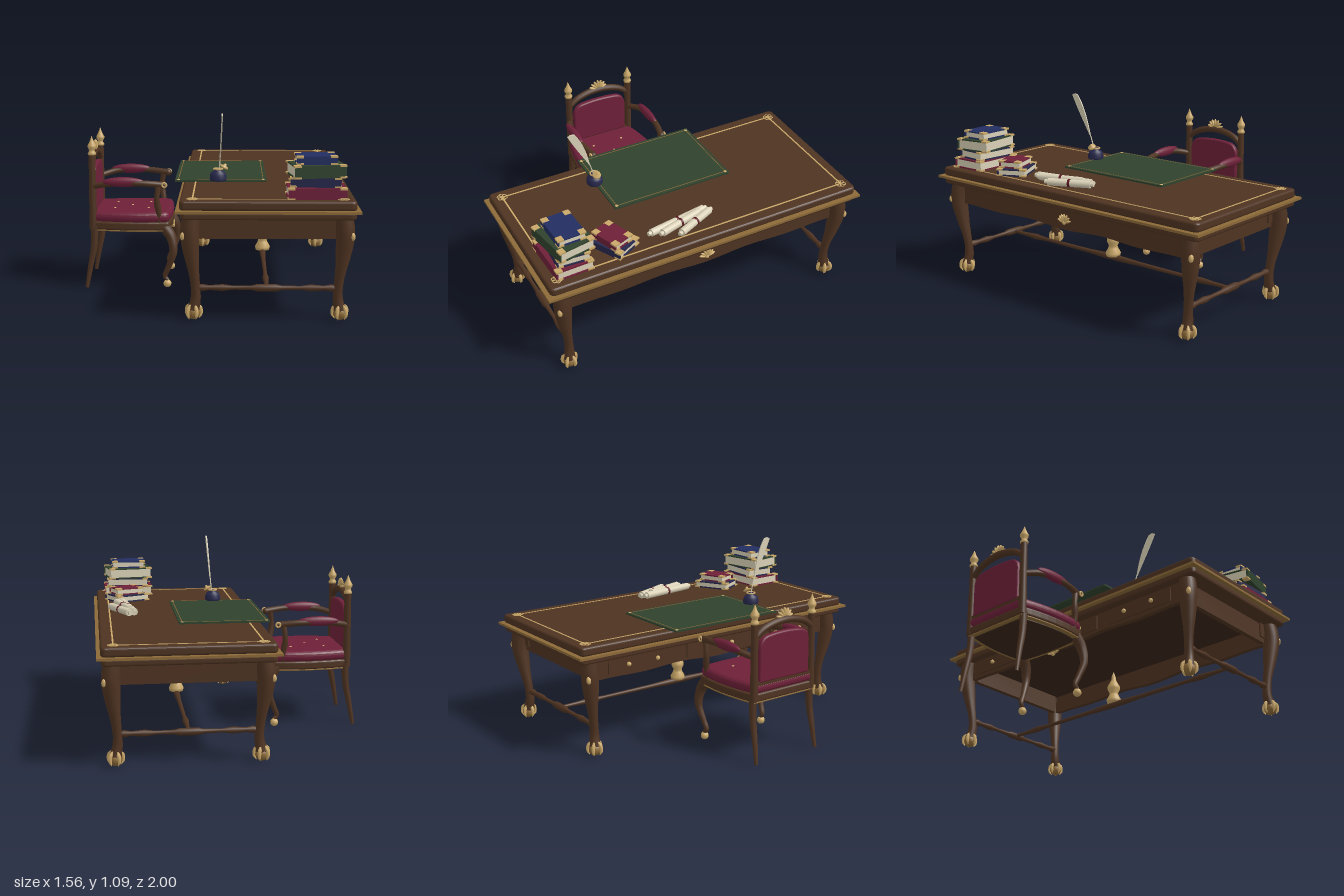
import * as THREE from 'three';

const mat = (name, color) => { const m = new THREE.MeshStandardMaterial({ color }); m.name = name; return m; };
const V = (x, y, z) => new THREE.Vector3(x, y, z);

export function createModel() {
  const wood = mat('walnut', 0x4e3321), dark = mat('dark walnut', 0x3b2719), gold = mat('gold', 0xc9a768),
    oldGold = mat('old gold', 0x8c6a38), crimson = mat('crimson velvet', 0x6e2039), green = mat('green leather', 0x2f422d),
    navy = mat('navy', 0x27284c), blue = mat('blue', 0x232e61), cream = mat('cream paper', 0xd9d0b6), maroon = mat('maroon ribbon', 0x5a1420);
  dark.side = cream.side = THREE.DoubleSide;
  const root = new THREE.Group();
  const group = (name, parent = root) => { const g = new THREE.Group(); g.name = name; parent.add(g); return g; };
  const add = (p, name, geo, m, x = 0, y = 0, z = 0) => {
    const o = new THREE.Mesh(geo, m); o.name = name; o.position.set(x, y, z); p.add(o); return o;
  };
  const box = (p, name, m, x, y, z, w, h, d) => add(p, name, new THREE.BoxGeometry(w, h, d), m, x, y, z);
  const ball = (p, name, m, x, y, z, r, sy = 1) => add(p, name, new THREE.SphereGeometry(r, 16, 10).scale(1, sy, 1), m, x, y, z);
  const lathe = (p, name, m, pts, x, y, z) =>
    add(p, name, new THREE.LatheGeometry(pts.map(a => new THREE.Vector2(a[0], a[1])), 20), m, x, y, z);
  // Swept limb: a tube whose rings are scaled by a list of radii
  const limb = (p, name, m, pts, radii, n = 28, sides = 12) => {
    const curve = new THREE.CatmullRomCurve3(pts.map(a => V(...a)));
    const g = new THREE.TubeGeometry(curve, n, 1, sides), pos = g.attributes.position, v = V(0, 0, 0);
    for (let i = 0; i <= n; i++) {
      const c = curve.getPointAt(i / n), t = i / n * (radii.length - 1), k = Math.min(Math.floor(t), radii.length - 2);
      const r = THREE.MathUtils.lerp(radii[k], radii[k + 1], t - k);
      for (let j = 0; j <= sides; j++) {
        const q = i * (sides + 1) + j;
        v.fromBufferAttribute(pos, q).sub(c).multiplyScalar(r).add(c);
        pos.setXYZ(q, v.x, v.y, v.z);
      }
    }
    return add(p, name, g, m);
  };
  // Horizontal rounded slab extruded upward
  const slab = (p, name, m, shape, y, h, bevel) => {
    const g = new THREE.ExtrudeGeometry(shape, { depth: h - 2 * bevel, bevelSize: bevel, bevelThickness: bevel, bevelSegments: 4, curveSegments: 8 });
    return add(p, name, g.rotateX(-Math.PI / 2), m, 0, y + bevel, 0);
  };
  // Scallop shell fan facing +x or -x
  const shell = (p, x, y, z, r) => {
    const s = group('shell ornament', p);
    for (let i = -3; i <= 3; i++) {
      const a = i * 0.42, o = ball(s, 'shell rib', gold, x, y + Math.cos(a) * r * 0.55, z + Math.sin(a) * r * 0.55, 1);
      o.scale.set(r * 0.2, r * 0.5, r * 0.15); o.rotation.x = a;
    }
    ball(s, 'shell boss', gold, x, y, z, r * 0.25);
  };
  const frame = (p, name, m, cx, y, hx, hz, w) => {
    for (const s of [-1, 1]) {
      box(p, name, m, cx + s * hx, y, 0, w, 0.004, hz * 2 + w);
      box(p, name, m, cx, y, s * hz, hx * 2 + w, 0.004, w);
    }
  };

  // ---- Desk ----
  const desk = group('desk'), CX = 0.29;
  const rect = (cx, hx, hz, r) => {
    const s = new THREE.Shape(), q = Math.PI / 2;
    [[1, 1], [-1, 1], [-1, -1], [1, -1]].forEach(([a, b], i) =>
      s.absarc(cx + a * (hx - r), b * (hz - r), r, i * q, (i + 1) * q, false));
    return s;
  };
  slab(desk, 'lower moulding', wood, rect(CX, 0.455, 0.965, 0.015), 0.57, 0.04, 0.012);
  box(desk, 'gilt edge', oldGold, CX, 0.614, 0, 0.98, 0.014, 2);
  slab(desk, 'desk top', wood, rect(CX, 0.455, 0.965, 0.015), 0.62, 0.052, 0.014);
  box(desk, 'underside', dark, CX, 0.568, 0, 0.8, 0.006, 1.72);
  frame(desk, 'inlay line', gold, CX, 0.6722, 0.4, 0.915, 0.009);
  for (const sx of [-1, 1]) for (const sz of [-1, 1]) {
    const rx = CX + sx * 0.4, rz = sz * 0.915;
    for (let i = 0; i < 6; i++)
      add(desk, 'rosette petal', new THREE.TorusGeometry(0.011, 0.003, 6, 12).rotateX(Math.PI / 2), gold,
        rx + Math.cos(i * Math.PI / 3) * 0.019, 0.673, rz + Math.sin(i * Math.PI / 3) * 0.019);
    // Cabriole leg with ball and claw foot
    const leg = group('desk leg', desk), P = (x, y, z) => [CX + sx * x, y, sz * z];
    limb(leg, 'cabriole leg', wood, [P(0.408, 0.58, 0.893), P(0.416, 0.48, 0.9), P(0.405, 0.35, 0.888), P(0.388, 0.2, 0.868), P(0.385, 0.12, 0.864), P(0.397, 0.05, 0.87)],
      [0.046, 0.051, 0.05, 0.046, 0.039, 0.031, 0.026, 0.025, 0.028, 0.034]);
    const [fx, , fz] = P(0.398, 0, 0.87);
    ball(leg, 'foot ball', oldGold, fx, 0.038, fz, 0.038);
    for (let i = 0; i < 5; i++) {
      const a = Math.atan2(sz, sx) + (i - 2) * Math.PI * 0.4, c = Math.cos(a), s = Math.sin(a);
      limb(leg, 'claw', gold, [[fx + c * 0.022, 0.085, fz + s * 0.022], [fx + c * 0.039, 0.06, fz + s * 0.039], [fx + c * 0.042, 0.03, fz + s * 0.042], [fx + c * 0.03, 0.005, fz + s * 0.03]],
        [0.004, 0.011, 0.01, 0.008, 0.001], 12, 8);
    }
    const knee = ball(leg, 'knee ornament', gold, CX + sx * 0.452, 0.475, sz * 0.93, 0.014, 1.6);
    knee.rotation.z = sx * 0.1;
    box(leg, 'corner bracket', wood, CX + sx * 0.345, 0.53, sz * 0.875, 0.04, 0.1, 0.03);
  }
  // Serpentine aprons
  const apron = (L, drop) => {
    const s = new THREE.Shape(); s.moveTo(-L, 0.575); s.lineTo(-L, 0.45);
    for (let i = 1; i < 40; i++) {
      const t = -1 + i / 20;
      s.lineTo(t * L, 0.45 - drop * Math.cos(t * Math.PI * 3) * (1 - t * t));
    }
    s.lineTo(L, 0.45); s.lineTo(L, 0.575);
    return new THREE.ExtrudeGeometry(s, { depth: 0.03, bevelEnabled: false }).translate(0, 0, -0.015);
  };
  for (const s of [-1, 1]) {
    add(desk, 'long apron', apron(0.86, 0.008).rotateY(Math.PI / 2), wood, CX + s * 0.4, 0, 0);
    add(desk, 'end apron', apron(0.37, 0), wood, CX, 0, s * 0.865);
    lathe(desk, 'end stretcher', wood, [[0.013, -0.385], [0.02, -0.35], [0.013, -0.31], [0.019, -0.24], [0.011, -0.18], [0.013, -0.08], [0.021, -0.05], [0.021, 0.05], [0.013, 0.08], [0.011, 0.18], [0.019, 0.24], [0.013, 0.31], [0.02, 0.35], [0.013, 0.385]], CX, 0.175, s * 0.862).rotation.z = Math.PI / 2;
  }
  shell(desk, CX + 0.418, 0.485, 0, 0.05);
  for (const z of [-0.55, 0, 0.55]) {
    box(desk, 'drawer front', wood, CX - 0.418, 0.515, z, 0.012, 0.085, 0.46);
    for (const s of [-1, 1]) ball(desk, 'drawer knob', gold, CX - 0.434, 0.515, z + s * 0.1, 0.013);
  }
  lathe(desk, 'long stretcher', wood, [[0.01, -0.86], [0.012, -0.75], [0.018, -0.66], [0.011, -0.56], [0.013, -0.2], [0.018, -0.07], [0.018, 0.07], [0.013, 0.2], [0.011, 0.56], [0.018, 0.66], [0.012, 0.75], [0.01, 0.86]], CX, 0.175, 0).rotation.x = Math.PI / 2;
  lathe(desk, 'stretcher finial', gold, [[0, 0.185], [0.042, 0.185], [0.046, 0.205], [0.03, 0.235], [0.026, 0.25], [0.038, 0.275], [0.038, 0.295], [0.022, 0.325], [0.014, 0.34], [0.015, 0.352], [0.008, 0.375], [0, 0.395]], CX, 0, 0);

  // ---- Writing mat ----
  const pad = group('writing mat');
  box(pad, 'mat', green, 0.035, 0.678, 0, 0.53, 0.01, 0.76);
  frame(pad, 'mat border', oldGold, 0.035, 0.6825, 0.246, 0.362, 0.004);
  for (const sx of [-1, 1]) for (const sz of [-1, 1]) ball(pad, 'mat stud', gold, 0.035 + sx * 0.246, 0.683, sz * 0.362, 0.01, 0.4);

  // ---- Inkwell and quill ----
  const ink = group('inkwell');
  lathe(ink, 'ink bottle', navy, [[0, 0.682], [0.046, 0.682], [0.049, 0.69], [0.047, 0.715], [0.04, 0.73], [0.025, 0.738], [0.024, 0.75], [0, 0.75]], 0.02, 0, 0.38);
  add(ink, 'bottle collar', new THREE.TorusGeometry(0.025, 0.005, 8, 20).rotateX(Math.PI / 2), gold, 0.02, 0.75, 0.38);
  const lid = lathe(ink, 'bottle lid', gold, [[0, 0], [0.026, 0], [0.024, 0.01], [0.008, 0.016], [0.008, 0.024], [0, 0.028]], 0.052, 0.757, 0.38);
  lid.rotation.z = -0.5;
  limb(ink, 'quill shaft', cream, [[0.025, 0.72, 0.38], [0.033, 0.84, 0.415], [0.042, 1.0, 0.48], [0.046, 1.08, 0.53]], [0.004, 0.003, 0.001], 16, 6);
  const feather = new THREE.Shape();
  feather.moveTo(0.416, 0.83);
  feather.bezierCurveTo(0.44, 0.88, 0.5, 0.97, 0.548, 1.075);
  feather.lineTo(0.53, 1.085); feather.lineTo(0.505, 1.08);
  feather.bezierCurveTo(0.46, 1.02, 0.43, 0.93, 0.412, 0.83);
  const fg = new THREE.ExtrudeGeometry(feather, { depth: 0.008, bevelEnabled: false }).rotateY(-Math.PI / 2);
  const fp = fg.attributes.position;
  for (let i = 0; i < fp.count; i++) fp.setX(i, fp.getX(i) + 0.037 + (fp.getY(i) - 0.83) * 0.05);
  add(ink, 'quill feather', fg, cream);

  // ---- Books ----
  const book = (m, x, y, z, w, h, d, rot) => {
    const b = group('book'); b.position.set(x, y, z); b.rotation.y = rot;
    box(b, 'pages', cream, 0, h / 2, -0.003, w - 0.014, h - 0.01, d - 0.014);
    for (const py of [0.004, h - 0.004]) {
      box(b, 'cover', m, 0, py, 0, w, 0.008, d);
      for (const sx of [-1, 1]) for (const sz of [-1, 1])
        box(b, 'corner guard', gold, sx * (w / 2 - 0.017), py, sz * (d / 2 - 0.017), 0.038, 0.0105, 0.038);
    }
    box(b, 'spine', m, 0, h / 2, d / 2 - 0.004, w, h, 0.008);
  };
  book(crimson, 0.55, 0.672, 0.815, 0.31, 0.06, 0.22, 0.03);
  book(navy, 0.55, 0.732, 0.8, 0.27, 0.053, 0.19, -0.06);
  book(green, 0.55, 0.785, 0.81, 0.28, 0.068, 0.22, 0.17);
  book(blue, 0.548, 0.853, 0.805, 0.215, 0.045, 0.165, 0.04);
  book(navy, 0.565, 0.672, 0.525, 0.23, 0.043, 0.175, 0.48);
  book(crimson, 0.57, 0.715, 0.53, 0.18, 0.042, 0.135, 0.36);

  // ---- Scrolls ----
  for (const [x1, z1, x2, z2, y] of [[0.54, -0.08, 0.605, 0.325, 0.695], [0.565, -0.1, 0.685, 0.17, 0.695], [0.56, -0.03, 0.645, 0.27, 0.703]]) {
    const s = group('scroll'), L = Math.hypot(x2 - x1, z2 - z1);
    s.position.set((x1 + x2) / 2, y, (z1 + z2) / 2);
    s.quaternion.setFromUnitVectors(V(0, 1, 0), V((x2 - x1) / L, 0, (z2 - z1) / L));
    add(s, 'rolled paper', new THREE.CylinderGeometry(0.022, 0.022, L - 0.04, 16), cream);
    add(s, 'inner roll', new THREE.CylinderGeometry(0.013, 0.013, L, 12), cream);
    add(s, 'ribbon', new THREE.CylinderGeometry(0.0235, 0.0235, 0.014, 16), maroon);
  }

  // ---- Chair ----
  const chair = group('chair');
  const seat = k => {
    const s = new THREE.Shape(), xb = -0.735 + k, xf = -0.28 - k, zb = 0.21 - k, zf = 0.235 - k;
    s.moveTo(xb, -zb);
    s.quadraticCurveTo(-0.5, -0.268 + k, xf - 0.02, -zf);
    s.quadraticCurveTo(xf, -zf, xf, -zf + 0.03);
    s.quadraticCurveTo(xf + 0.02, 0, xf, zf - 0.03);
    s.quadraticCurveTo(xf, zf, xf - 0.02, zf);
    s.quadraticCurveTo(-0.5, 0.268 - k, xb, zb);
    return s;
  };
  slab(chair, 'seat rail', wood, seat(0), 0.355, 0.05, 0.012);
  slab(chair, 'seat gilt line', oldGold, seat(-0.006), 0.348, 0.008, 0.002);
  slab(chair, 'seat underside', dark, seat(0.02), 0.342, 0.01, 0.002);
  slab(chair, 'seat cushion', crimson, seat(0.016), 0.4, 0.064, 0.028);
  for (const [x, z] of [[-0.61, 0.1], [-0.61, -0.1], [-0.405, 0.1], [-0.405, -0.1], [-0.51, 0]]) ball(chair, 'seat button', gold, x, 0.464, z, 0.008, 0.5);
  shell(chair, -0.262, 0.335, 0, 0.045);
  for (const s of [-1, 1]) {
    limb(chair, 'back leg', wood, [[-0.773, 0, s * 0.222], [-0.752, 0.12, s * 0.216], [-0.728, 0.25, s * 0.212], [-0.72, 0.38, s * 0.21]], [0.011, 0.016, 0.02, 0.023]);
    add(chair, 'back post', new THREE.CylinderGeometry(0.02, 0.023, 0.46, 14), wood, -0.73, 0.59, s * 0.21);
    lathe(chair, 'post finial', gold, [[0, 0.805], [0.023, 0.805], [0.025, 0.815], [0.018, 0.825], [0.016, 0.835], [0.025, 0.85], [0.025, 0.862], [0.014, 0.882], [0.007, 0.9], [0, 0.92]], -0.73, 0, s * 0.21);
    limb(chair, 'front leg', wood, [[-0.305, 0.375, s * 0.215], [-0.262, 0.31, s * 0.225], [-0.25, 0.22, s * 0.235], [-0.283, 0.12, s * 0.222], [-0.303, 0.065, s * 0.215], [-0.285, 0.045, s * 0.218]],
      [0.034, 0.033, 0.029, 0.025, 0.02, 0.017, 0.016, 0.012]);
    ball(chair, 'front foot', gold, -0.288, 0.024, s * 0.218, 0.024);
    // Arm, padded, with its support and scrolled tip
    limb(chair, 'arm support', wood, [[-0.34, 0.38, s * 0.225], [-0.335, 0.46, s * 0.24], [-0.345, 0.54, s * 0.25], [-0.335, 0.63, s * 0.245]], [0.019, 0.015, 0.02, 0.015, 0.018]);
    limb(chair, 'arm', wood, [[-0.73, 0.615, s * 0.21], [-0.64, 0.637, s * 0.25], [-0.53, 0.645, s * 0.262], [-0.42, 0.642, s * 0.26], [-0.31, 0.63, s * 0.24]], [0.017, 0.019, 0.019, 0.018, 0.02]);
    ball(chair, 'arm tip', wood, -0.305, 0.628, s * 0.24, 0.021);
    add(chair, 'arm tip scroll', new THREE.TorusGeometry(0.013, 0.006, 8, 14), gold, -0.3, 0.632, s * 0.258);
    ball(chair, 'arm pad', crimson, -0.54, 0.65, s * 0.26, 1).scale.set(0.125, 0.03, 0.024);
  }
  limb(chair, 'crest rail', wood, [[-0.73, 0.725, -0.215], [-0.735, 0.775, -0.14], [-0.738, 0.802, 0], [-0.735, 0.775, 0.14], [-0.73, 0.725, 0.215]], [0.018, 0.02, 0.022, 0.02, 0.018]);
  shell(chair, -0.735, 0.808, 0, 0.06);
  box(chair, 'lower back rail', wood, -0.73, 0.455, 0, 0.028, 0.035, 0.41);
  const back = new THREE.Shape();
  back.moveTo(-0.17, 0.475); back.lineTo(0.17, 0.475); back.lineTo(0.17, 0.66);
  back.quadraticCurveTo(0.165, 0.715, 0.11, 0.72);
  back.quadraticCurveTo(0, 0.735, -0.11, 0.72);
  back.quadraticCurveTo(-0.165, 0.715, -0.17, 0.66);
  const bg = new THREE.ExtrudeGeometry(back, { depth: 0.012, bevelSize: 0.012, bevelThickness: 0.012, bevelSegments: 4 });
  add(chair, 'back cushion', bg.rotateY(Math.PI / 2), crimson, -0.736, 0, 0);

  return root;
}
